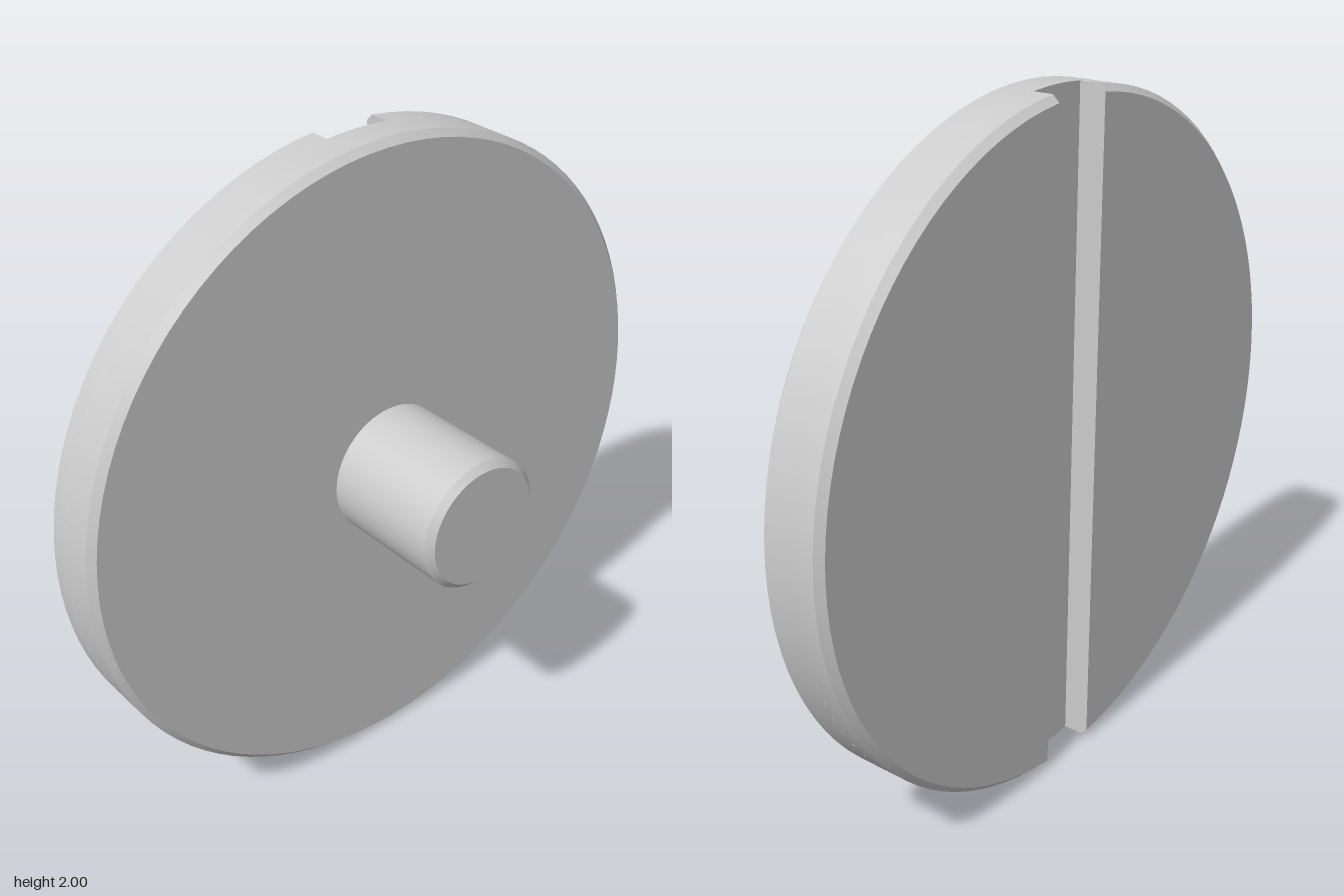
import * as THREE from 'three';
import { toCreasedNormals } from 'three/addons/utils/BufferGeometryUtils.js';

const SEGMENTS = 96;
const CREASE = 0.4;
const SLOT = 0.1; // half width of the slot
const FLOOR_Z = -0.22;

// Turned part around the z axis, profile given as [radius, z] from back to front
function turned(profile) {
  const points = profile.map(([r, z]) => new THREE.Vector2(r, z));
  const geometry = new THREE.LatheGeometry(points, SEGMENTS).rotateX(Math.PI / 2);
  return toCreasedNormals(geometry, CREASE);
}

// Raised half of the back: stacked circle segments cut off at x = SLOT
function raisedHalf(levels) {
  const n = SEGMENTS / 2;
  const ring = n + 1;
  const positions = [];
  const indices = [];
  for (const [r, z] of levels) {
    const limit = Math.acos(SLOT / r);
    for (let i = 0; i <= n; i++) {
      const a = limit * (2 * i / n - 1);
      positions.push(r * Math.cos(a), r * Math.sin(a), z);
    }
  }
  // Rim, chamfer and (where the ring closes) slot wall
  for (let k = 0; k < levels.length - 1; k++) {
    for (let i = 0; i < ring; i++) {
      const a = k * ring + i;
      const b = k * ring + (i + 1) % ring;
      indices.push(a, a + ring, b, a + ring, b + ring, b);
    }
  }
  // Back face
  const last = (levels.length - 1) * ring;
  for (let i = 1; i < n; i++) indices.push(last, last + i + 1, last + i);

  const geometry = new THREE.BufferGeometry();
  geometry.setAttribute('position', new THREE.Float32BufferAttribute(positions, 3));
  geometry.setIndex(indices);
  return toCreasedNormals(geometry, CREASE);
}

// Slot floor: strip with rounded ends, facing the back
function slotFloor() {
  const a = Math.acos(SLOT);
  const shape = new THREE.Shape();
  shape.absarc(0, 0, 1, a, Math.PI - a, false);
  shape.absarc(0, 0, 1, Math.PI + a, 2 * Math.PI - a, false);
  return new THREE.ShapeGeometry(shape, 8).rotateY(Math.PI).translate(0, 0, FLOOR_Z);
}

export function createModel() {
  const model = new THREE.Group();
  model.name = 'slottedDiscWithPin';
  const material = new THREE.MeshStandardMaterial({ color: 0xcccccc });

  const add = (name, geometry, turn = 0) => {
    const mesh = new THREE.Mesh(geometry, material);
    mesh.name = name;
    mesh.position.y = 1;
    mesh.rotation.z = turn;
    model.add(mesh);
  };

  // Front of the disc with chamfered rim
  add('discFront', turned([[1, FLOOR_Z], [1, -0.12], [0.98, -0.1], [0.2, -0.1]]));

  // Chamfered pin
  add('pin', turned([[0.2, -0.1], [0.2, 0.28], [0.18, 0.3], [0, 0.3]]));

  // Back halves on either side of the slot
  const half = raisedHalf([[1, FLOOR_Z], [1, -0.28], [0.98, -0.3]]);
  add('discBackLeft', half);
  add('discBackRight', half, Math.PI);
  add('slotFloor', slotFloor());

  return model;
}
